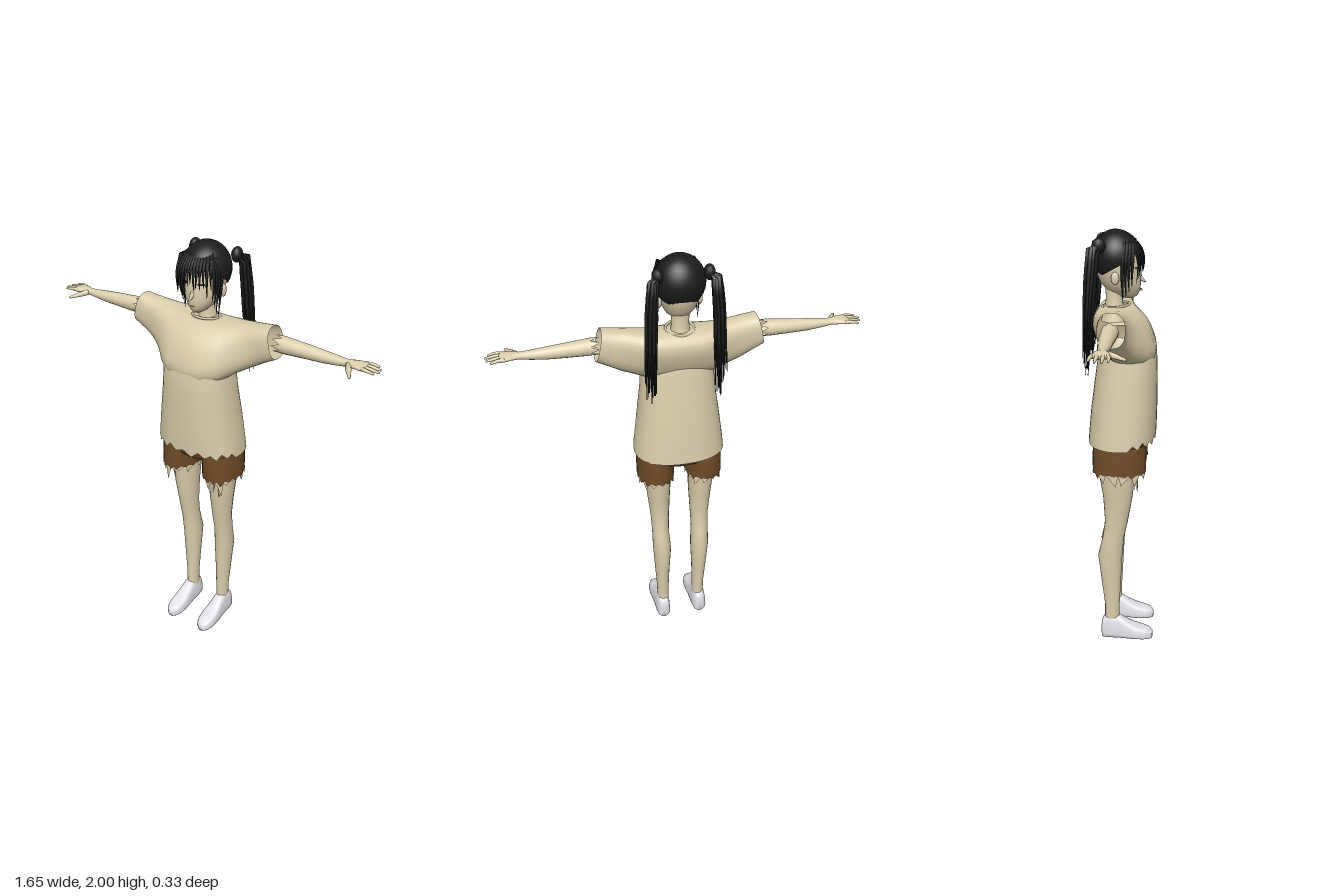
import * as THREE from 'three';

const mat = (name, color) => {
  const m = new THREE.MeshStandardMaterial({ color, side: THREE.DoubleSide });
  m.name = name;
  return m;
};
const V = (x, y, z) => new THREE.Vector3(x, y, z);
const pw = (v, p) => Math.sign(v) * Math.abs(v) ** p;

// seeded random
let seed = 7;
const rnd = () => ((seed = (seed * 16807) % 2147483647) / 2147483647);

// closed ring of n points from a rule of (cos, sin, index)
const ring = (n, f, p = 1) => Array.from({ length: n }, (_, i) => {
  const a = (i / n) * Math.PI * 2;
  return f(pw(Math.cos(a), p), pw(Math.sin(a), p), i);
});

// skin through rings, with optional end caps
function loft(rings, capStart = false, capEnd = false) {
  const n = rings[0].length, pos = [], idx = [];
  rings.forEach(r => r.forEach(v => pos.push(v.x, v.y, v.z)));
  for (let k = 0; k < rings.length - 1; k++) for (let i = 0; i < n; i++) {
    const a = k * n + i, b = k * n + (i + 1) % n;
    idx.push(a, a + n, b, b, a + n, b + n);
  }
  const cap = (k, flip) => {
    const c = V(0, 0, 0), at = pos.length / 3;
    rings[k].forEach(v => c.addScaledVector(v, 1 / n));
    pos.push(c.x, c.y, c.z);
    for (let i = 0; i < n; i++) {
      const a = k * n + i, b = k * n + (i + 1) % n;
      flip ? idx.push(at, b, a) : idx.push(at, a, b);
    }
  };
  if (capStart) cap(0, false);
  if (capEnd) cap(rings.length - 1, true);
  const g = new THREE.BufferGeometry();
  g.setAttribute('position', new THREE.Float32BufferAttribute(pos, 3));
  g.setIndex(idx);
  g.computeVertexNormals();
  return g;
}

// horizontal ring: half width, front and back depth
const slice = (n, x, y, rx, zf, zb, p = 1) =>
  ring(n, (c, s) => V(x + rx * c, y, (zf + zb) / 2 + s * (zf - zb) / 2), p);

// tapered rod along a curve
function strand(points, r0, r1, flat = 1, sides = 5) {
  const curve = new THREE.CatmullRomCurve3(points), rings = [], K = 8;
  const fr = curve.computeFrenetFrames(K, false);
  for (let k = 0; k <= K; k++) {
    const p = curve.getPointAt(k / K), r = r0 + (r1 - r0) * (k / K) ** 1.6;
    rings.push(ring(sides, (c, s) => p.clone()
      .addScaledVector(fr.normals[k], c * r).addScaledVector(fr.binormals[k], s * r * flat)));
  }
  return loft(rings, true, true);
}

// row of hanging torn triangles
function tatters(x, y, rx, rz, n, short, long) {
  const pos = [], P = a => [x + rx * Math.cos(a), y, rz * Math.sin(a)];
  for (let i = 0; i < n; i++) {
    const a = (i / n) * Math.PI * 2, b = ((i + 1) / n) * Math.PI * 2;
    const t = P(a + (b - a) * (0.2 + 0.6 * rnd()));
    t[1] -= short + (long - short) * rnd() ** 2;
    pos.push(...P(a), ...t, ...P(b));
  }
  const g = new THREE.BufferGeometry();
  g.setAttribute('position', new THREE.Float32BufferAttribute(pos, 3));
  g.computeVertexNormals();
  return g;
}

export function createModel() {
  const model = new THREE.Group();
  model.name = 'girl';
  const skin = mat('skin', 0xdccfae), cloth = mat('shirtCloth', 0xd8ccaa);
  const hair = mat('hair', 0x1c1c1d), brown = mat('shortsBrown', 0x6e4a28);
  const white = mat('shoeWhite', 0xe2e2e8);
  const add = (name, geo, m, parent = model) => {
    const mesh = new THREE.Mesh(geo, m);
    mesh.name = name;
    parent.add(mesh);
    return mesh;
  };

  // shirt body with an uneven hem
  const body = [[1.04, .212, .165, -.15], [1.09, .207, .168, -.146], [1.2, .193, .17, -.136],
    [1.35, .172, .17, -.116], [1.45, .164, .166, -.102], [1.51, .15, .148, -.092], [1.55, .13, .12, -.08]]
    .map(([y, w, f, b]) => slice(40, 0, y, w, f, b, .85));
  body[0].forEach((v, i) => { if (v.z > .05) v.y += [.035, .005, .028, .012][i % 4]; });
  add('shirtBody', loft(body), cloth);

  // shoulders and sleeves as one hollow tube: x, bottom, top, front, back, lean
  const half = [[0, 1.40, 1.672, .15, -.105, .05], [.08, 1.41, 1.67, .145, -.105, .05],
    [.14, 1.43, 1.673, .115, -.1, .04], [.19, 1.465, 1.68, .078, -.092, .02],
    [.25, 1.5, 1.688, .05, -.085, .005], [.3, 1.53, 1.694, .043, -.08, 0], [.355, 1.56, 1.70, .04, -.078, 0]];
  const yoke = [...half.slice(1).reverse().map(h => [-h[0], ...h.slice(1)]), ...half];
  add('shirtShoulders', loft(yoke.map(([x, b, t, f, k, lean]) => ring(32, (c, s) =>
    V(x - Math.sign(x) * .016 * s * Math.min(1, Math.abs(x) / .35), (b + t) / 2 + s * (t - b) / 2,
      (f + k) / 2 + c * (f - k) / 2 - lean * s), .8))), cloth);
  const collar = add('collar', new THREE.TorusGeometry(.062, .006, 6, 28), cloth);
  collar.rotation.x = Math.PI / 2 - .12;
  collar.position.set(0, 1.669, -.022);

  // shorts seat
  add('shortsSeat', loft([slice(28, 0, .985, .02, .02, -.02), slice(28, 0, 1.0, .17, .105, -.11),
    slice(28, 0, 1.04, .198, .122, -.125), slice(28, 0, 1.12, .18, .12, -.12)], true), brown);

  // head
  add('head', loft([[1.703, .012, .055, .02], [1.714, .03, .074, -.02], [1.738, .055, .086, -.06],
    [1.77, .074, .09, -.09], [1.82, .086, .086, -.11], [1.88, .09, .084, -.12],
    [1.94, .078, .06, -.1], [1.975, .04, .01, -.06]]
    .map(([y, w, f, b]) => slice(28, 0, y, w, f, b)), true, true), skin);
  add('nose', strand([V(0, 1.80, .08), V(0, 1.785, .094), V(0, 1.772, .112)], .012, .002), skin);
  add('neck', loft([[1.60, .06, .03, -.09], [1.66, .043, .012, -.072], [1.70, .038, .01, -.066],
    [1.76, .04, .012, -.07]].map(([y, w, f, b]) => slice(20, 0, y, w, f, b))), skin);
  add('mouth', new THREE.BoxGeometry(.022, .003, .004), brown).position.set(0, 1.742, .086);

  // hair cap, longer at the back than over the face
  const cap = [];
  for (let k = 0; k <= 14; k++) cap.push(ring(36, (c, s) => {
    const end = s > 0 ? 1.95 - .75 * s ** 1.2 : 1.95 + .5 * -s;
    const t = (k / 14) * end;
    return V(.109 * c * Math.sin(t), 1.885 + .115 * Math.cos(t), -.025 + (s > 0 ? .115 : .1) * s * Math.sin(t));
  }));
  add('hairCap', loft(cap), hair);

  // fringe
  for (let i = -6; i <= 6; i++) {
    const x = i * .0145, z = .098 - 3.2 * x * x, drop = 1.80 + .05 * rnd() - Math.abs(x) * .25;
    add('fringeLock', strand([V(x * .6, 1.965, z - .055), V(x * .9, 1.925, z - .012),
      V(x + .003, 1.87, z + .006), V(x + .01 * (rnd() - .5), drop, z)], .0105, .001, .7), hair);
  }

  for (const side of [1, -1]) {
    const g = new THREE.Group();
    g.name = side > 0 ? 'leftSide' : 'rightSide';
    g.scale.x = side;
    model.add(g);

    // ear, lash and long side locks
    const ear = add('ear', new THREE.SphereGeometry(1, 12, 8), skin, g);
    ear.scale.set(.01, .028, .018);
    ear.position.set(.088, 1.80, -.02);
    const lash = add('eyelash', new THREE.BoxGeometry(.03, .005, .006), hair, g);
    lash.position.set(.04, 1.84, .075);
    lash.rotation.y = .5;
    for (let i = 0; i < 4; i++) add('sideLock', strand([V(.075, 1.95, .02 + i * .012),
      V(.1 - i * .003, 1.88, .015 + i * .014), V(.094 - i * .003, 1.80, .012 + i * .014),
      V(.085 - i * .002, 1.69 + i * .025, .015 + i * .013)], .011, .001, .8), hair, g);

    // high pigtail made of thin locks
    const knot = add('pigtailTie', new THREE.SphereGeometry(1, 12, 8), hair, g);
    knot.scale.set(.024, .034, .03);
    knot.position.set(.108, 1.94, -.088);
    for (let i = 0; i < 15; i++) {
      const a = i * 2.4, r = Math.sqrt(i / 15), dx = Math.cos(a) * r, dz = Math.sin(a) * r;
      add('pigtailLock', strand([V(.1, 1.94, -.085), V(.124 + dx * .012, 1.965 - .02 * r, -.105 + dz * .02),
        V(.138 + dx * .02, 1.85, -.118 + dz * .026), V(.147 + dx * .026, 1.66, -.132 + dz * .024),
        V(.152 + dx * .03, 1.385 + .2 * rnd() * r, -.147 + dz * .014)], .0105, .0015), hair, g);
    }

    // arm with a torn upper edge, running into the palm
    const arm = [[.365, 1.627, .037, -.022, .038], [.41, 1.626, .036, -.023, .037], [.5, 1.624, .031, -.026, .032],
      [.58, 1.622, .026, -.027, .028], [.64, 1.622, .02, -.027, .022], [.685, 1.624, .015, -.026, .019],
      [.715, 1.627, .014, -.027, .032], [.75, 1.627, .013, -.028, .042], [.766, 1.626, .008, -.028, .038]]
      .map(([x, y, ry, z, rz]) => ring(16, (c, s) => V(x, y + ry * s, z + rz * c)));
    arm[0].forEach((v, i) => { v.x += i % 2 ? .022 : -.016; });
    add('arm', loft(arm, false, true), skin, g);
    [[-.064, .803], [-.04, .82], [-.016, .825], [.006, .812]].forEach(([z, x]) =>
      add('finger', strand([V(.745, 1.627, -.028 + (z + .028) * .8), V(.78, 1.628, z), V(x, 1.622, z * 1.08)],
        .0095, .004, 1, 8), skin, g));
    add('thumb', strand([V(.692, 1.622, -.015), V(.712, 1.617, .025), V(.738, 1.61, .067)], .014, .005, 1, 8), skin, g);

    // leg: height, centre x, half width, centre z, half depth
    add('leg', loft([[1.0, .107, .066, -.01, .09], [.9, .106, .063, -.012, .086], [.78, .103, .055, -.008, .07],
      [.65, .1, .045, -.015, .055], [.56, .1, .042, -.03, .052], [.46, .097, .045, -.046, .059],
      [.3, .096, .036, -.041, .046], [.18, .094, .03, -.037, .036], [.09, .094, .029, -.037, .036]]
      .map(([y, x, rx, z, rz]) => slice(20, x, y, rx, z + rz, z - rz))), skin, g);

    // shorts leg and its torn lining
    add('shortsLeg', loft([slice(24, .11, 1.05, .09, .122, -.122), slice(24, .114, .98, .089, .125, -.125),
      slice(24, .115, .92, .088, .124, -.124)]), brown, g);
    add('tornLining', tatters(.115, .921, .086, .122, 13, .012, .06), cloth, g);
    add('tornEdge', tatters(.115, .921, .089, .126, 17, .005, .03), brown, g);
    const strip = add('hangingShred', tatters(0, 0, .03, .01, 3, .08, .15), cloth, g);
    strip.position.set(.14, .91, .08);

    // shoe: z, half width, height, top narrowing
    add('shoe', loft([[-.09, .022, .085, .1], [-.08, .036, .112, .25], [-.045, .042, .128, .3], [-.005, .043, .125, .3],
      [.03, .045, .1, .25], [.075, .048, .074, .15], [.12, .046, .06, .15], [.15, .035, .05, .15], [.165, .016, .035, .1]]
      .map(([z, w, h, k]) => ring(20, (c, s) =>
        V(.097 + w * c * (1 - k * (s + 1) / 2), h * (s + 1) / 2, z), .6)), true, true), white, g);
  }
  return model;
}
